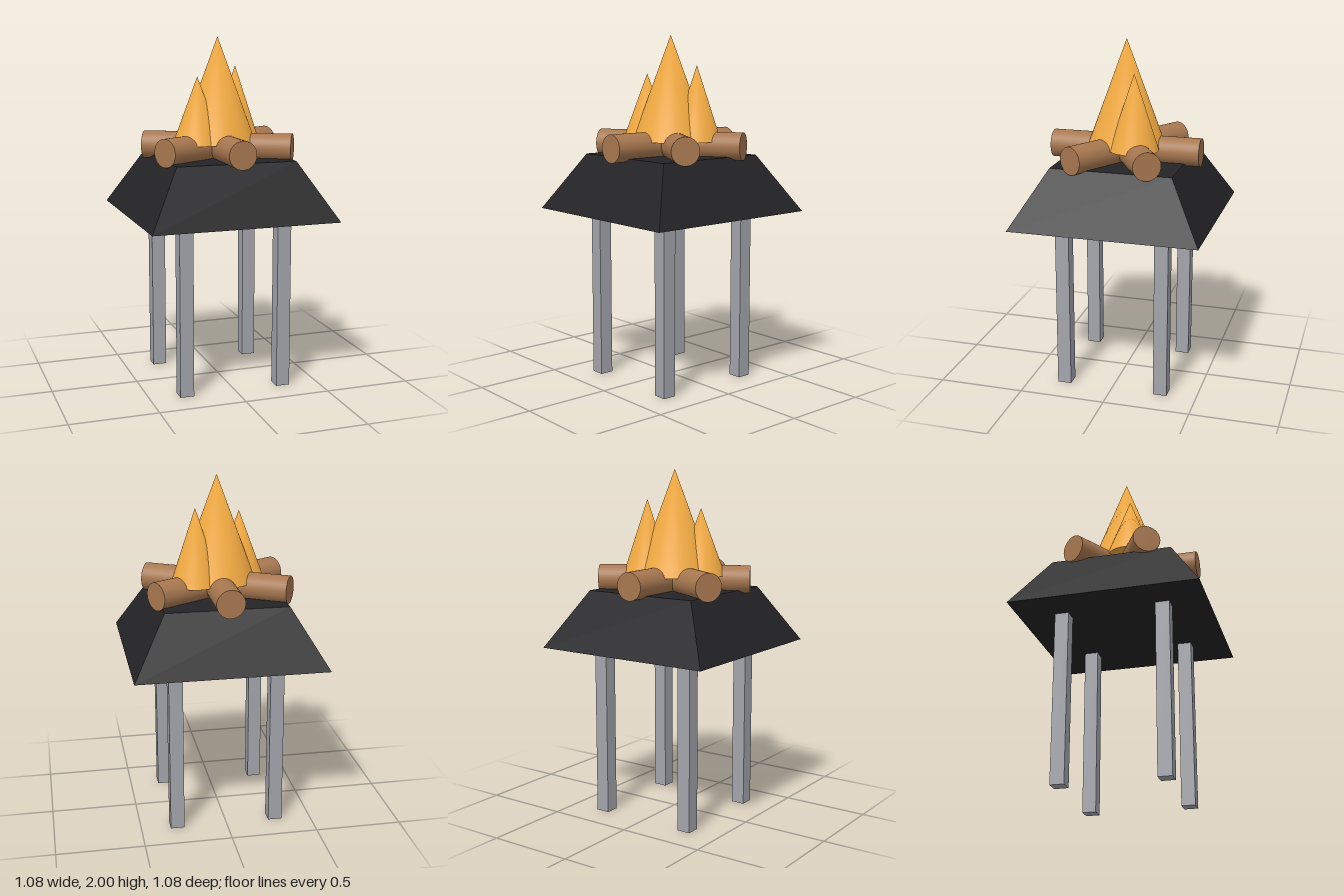
import * as THREE from 'three';
import { mergeVertices } from 'three/addons/utils/BufferGeometryUtils.js';

const material = (color, extra = {}) => new THREE.MeshStandardMaterial({ color, ...extra });

// Cone side with one shared tip, so its shading rolls over the top like a dome
function flameSide(radius, height) {
  const g = new THREE.ConeGeometry(radius, height, 48, 1, true);
  g.deleteAttribute('normal');
  g.deleteAttribute('uv');
  const merged = mergeVertices(g);
  merged.computeVertexNormals();
  return merged;
}

export function createModel() {
  const model = new THREE.Group();
  model.name = 'fireStand';

  const metal = material(0xa3a5ac);
  const iron = material(0x242426, { flatShading: true });
  const wood = material(0xa87850);
  const fire = material(0xf2aa42);

  const add = (name, geometry, mat, x, y, z, parent = model) => {
    const mesh = new THREE.Mesh(geometry, mat);
    mesh.name = name;
    mesh.position.set(x, y, z);
    parent.add(mesh);
    return mesh;
  };

  // Four square legs
  const legGeometry = new THREE.BoxGeometry(0.08, 1, 0.08);
  for (const x of [-1, 1]) {
    for (const z of [-1, 1]) {
      const name = (z > 0 ? 'front' : 'back') + (x > 0 ? 'Left' : 'Right') + 'Leg';
      add(name, legGeometry, metal, x * 0.29, 0.5, z * 0.29);
    }
  }

  // Tapered square base: a four-sided frustum turned to face the axes
  const baseGeometry = new THREE.CylinderGeometry(0.348 * Math.SQRT2, 0.54 * Math.SQRT2, 0.325, 4);
  baseGeometry.rotateY(Math.PI / 4);
  add('taperedBase', baseGeometry, iron, 0, 1.155, 0);

  // Three crossing logs, giving six ends around the fire
  const logGeometry = new THREE.CylinderGeometry(0.08, 0.08, 0.87, 32);
  logGeometry.rotateX(Math.PI / 2);
  for (let i = 0; i < 3; i++) {
    add('log' + (i + 1), logGeometry, wood, 0, 1.375, 0).rotation.y = i * Math.PI / 3;
  }

  // Flames: name, x, z, radius, tip height
  const flameBottom = 1.4;
  const flames = [
    ['mainFlame', 0, 0, 0.22, 2],
    ['leftFlame', 0.135, -0.08, 0.14, 1.83],
    ['rightFlame', -0.14, 0.06, 0.14, 1.78],
  ];
  for (const [name, x, z, radius, tip] of flames) {
    const height = tip - flameBottom;
    const flame = new THREE.Group();
    flame.name = name;
    flame.position.set(x, flameBottom, z);
    add(name + 'Side', flameSide(radius, height), fire, 0, height / 2, 0, flame);
    const underside = new THREE.CircleGeometry(radius, 48).rotateX(Math.PI / 2);
    add(name + 'Underside', underside, fire, 0, 0, 0, flame);
    model.add(flame);
  }

  return model;
}
